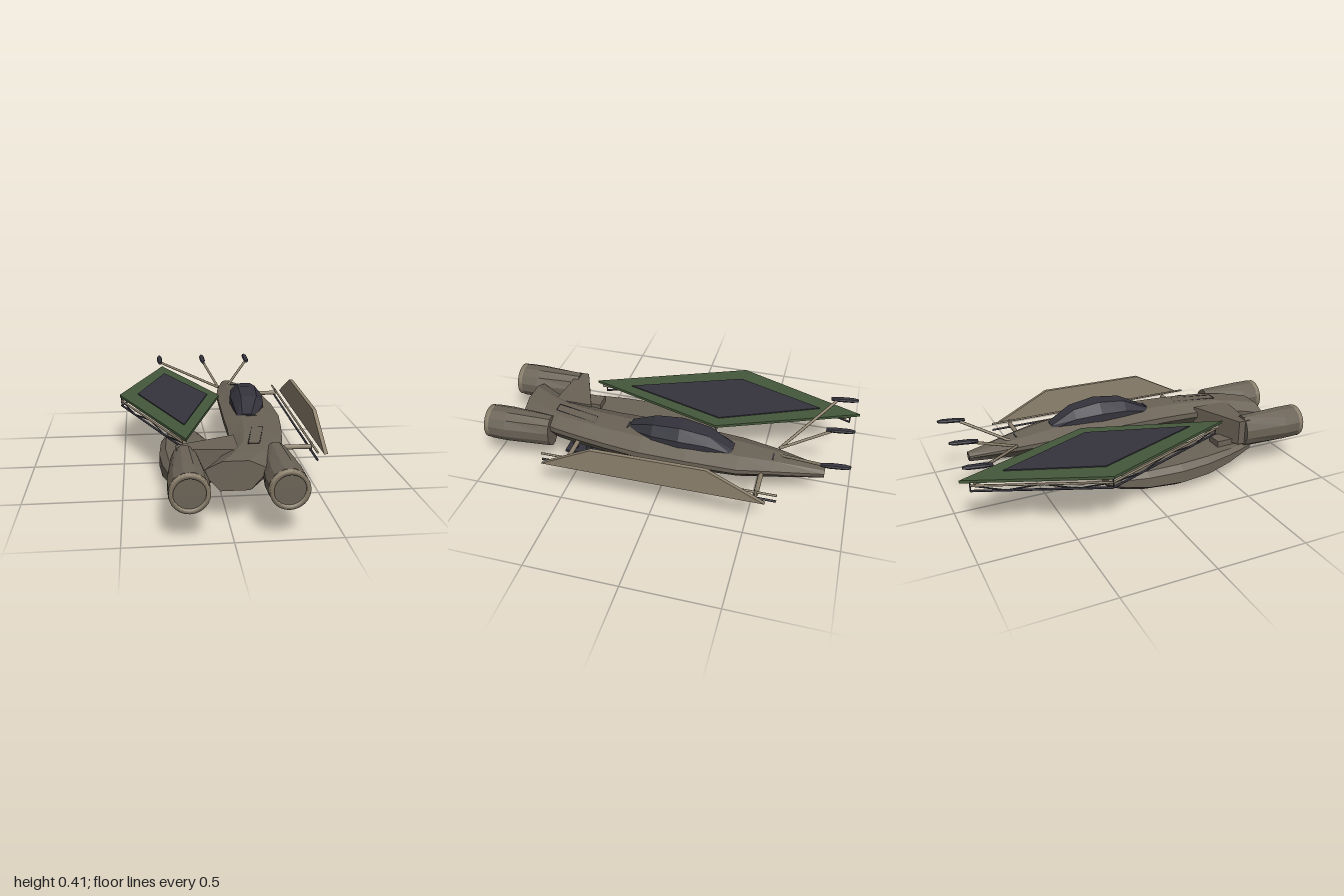
import * as THREE from 'three';

const mat = (name, color) => {
  const m = new THREE.MeshStandardMaterial({ color });
  m.name = name;
  return m;
};

export function createModel() {
  const hullMat = mat('hull brown', 0x6b6357);
  const tanMat = mat('light tan', 0x8f836f);
  const greenMat = mat('panel green', 0x44583a);
  const darkMat = mat('dark slate', 0x35343d);
  const model = new THREE.Group();
  model.name = 'ship';

  const add = (name, geo, material, parent = model) => {
    const mesh = new THREE.Mesh(geo, material);
    mesh.name = name;
    parent.add(mesh);
    return mesh;
  };

  // Faceted skin over sections [z, points counter-clockwise seen from +z]
  const skin = (sections) => {
    const pos = [];
    const n = sections[0][1].length;
    const v = (s, i) => [...sections[s][1][i % n], sections[s][0]];
    const last = sections.length - 1;
    for (let s = 0; s < last; s++) {
      for (let i = 0; i < n; i++) {
        pos.push(...v(s, i), ...v(s, i + 1), ...v(s + 1, i + 1));
        pos.push(...v(s, i), ...v(s + 1, i + 1), ...v(s + 1, i));
      }
    }
    for (let i = 1; i < n - 1; i++) {
      pos.push(...v(0, 0), ...v(0, i + 1), ...v(0, i));
      pos.push(...v(last, 0), ...v(last, i), ...v(last, i + 1));
    }
    const g = new THREE.BufferGeometry();
    g.setAttribute('position', new THREE.Float32BufferAttribute(pos, 3));
    g.computeVertexNormals();
    return g;
  };

  // Unit cross-section fitted into stations [z, xLow, xHigh, yLow, yHigh]
  const loft = (unit, stations) => skin(stations.map(([z, x0, x1, y0, y1]) =>
    [z, unit.map(([u, w]) => [x0 + u * (x1 - x0), y0 + w * (y1 - y0)])]));

  // Horizontal plate from an outline of [x, z] points
  const plate = (pts, y0, y1) => {
    const shape = new THREE.Shape(pts.map(([x, z]) => new THREE.Vector2(x, -z)));
    return new THREE.ExtrudeGeometry(shape, { depth: y1 - y0, bevelEnabled: false })
      .rotateX(-Math.PI / 2).translate(0, y0, 0);
  };

  const rod = (name, a, b, r, material, parent = model, sides = 8) => {
    const p = new THREE.Vector3(...a), q = new THREE.Vector3(...b);
    const mesh = add(name, new THREE.CylinderGeometry(r, r, p.distanceTo(q), sides), material, parent);
    mesh.position.copy(p).lerp(q, 0.5);
    mesh.quaternion.setFromUnitVectors(new THREE.Vector3(0, 1, 0), q.sub(p).normalize());
    return mesh;
  };

  const box = (name, w, h, d, x, y, z, material) =>
    add(name, new THREE.BoxGeometry(w, h, d).translate(x, y, z), material);

  // Main hull, bending sideways toward the tail
  const hullSection = [[.25, 0], [.75, 0], [1, .55], [1, .75], [.72, 1], [.28, 1], [0, .75], [0, .55]];
  add('hull', loft(hullSection, [
    [-.86, .15, .21, .20, .245], [-.6, .095, .29, .185, .285], [-.42, .07, .342, .178, .305],
    [-.15, .06, .36, .175, .325], [.1, .052, .36, .175, .33], [.3, .05, .335, .175, .33],
    [.45, .04, .31, .175, .33], [.6, .015, .28, .175, .328], [.72, -.045, .235, .175, .325],
    [.83, -.115, .165, .175, .32],
  ]), hullMat);

  // Arm joining the hull to the outer engine
  add('engineArm', plate([[.06, .465], [-.235, .59], [-.235, .66], [-.12, .66], [.06, .68]], .178, .318), hullMat);

  // Canopy
  add('canopy', loft([[0, 0], [1, 0], [1, .5], [.77, 1], [.25, 1], [0, .5]], [
    [-.38, .155, .26, .29, .312], [-.25, .132, .285, .3, .388], [-.1, .112, .297, .3, .411],
    [.05, .113, .28, .3, .396], [.19, .12, .215, .3, .336],
  ]), darkMat);

  // Seams on the hull top
  box('noseSeam', .05, .004, .008, .2, .287, -.59, darkMat);
  box('canopySeam', .055, .004, .008, .19, .331, .2, darkMat);
  const hatch = [[.165, .385], [.222, .385], [.165, .63], [.11, .63]];
  hatch.forEach(([x, z], i) => {
    const [x2, z2] = hatch[(i + 1) % 4];
    rod('hatchSeam', [x, .329, z], [x2, .329, z2], .002, darkMat, model, 4);
  });

  // Cargo pod slung under the outer engine
  add('pod', loft([[.32, 0], [.66, 0], [1, .38], [1, .85], [.88, 1], [.12, 1], [0, .8], [0, .38]], [
    [-.21, -.22, -.105, .07, .133], [-.13, -.255, -.07, .04, .14], [0, -.29, -.035, .014, .15],
    [.2, -.305, -.022, 0, .157], [.37, -.295, -.022, .012, .162], [.52, -.27, -.04, .055, .166],
    [.67, -.235, -.13, .125, .168],
  ]), hullMat);
  box('podPylon', .09, .06, .16, -.15, .17, .56, hullMat);

  // Engines: narrow at the intake, ringed nozzle behind
  const ring12 = Array.from({ length: 12 }, (_, i) => {
    const a = (i + .5) * Math.PI / 6;
    return [.5 + .5 * Math.cos(a), .5 + .5 * Math.sin(a)];
  });
  for (const x of [-.196, .243]) {
    const engine = new THREE.Group();
    engine.name = 'engine';
    engine.position.set(x, .24, 0);
    model.add(engine);
    add('engineBody', loft(ring12, [[.63, .07, .093], [.88, .096, .096], [.975, .095, .095]]
      .map(([z, w, h]) => [z, -w, w, -h, h])), hullMat, engine);
    const profile = [[.092, 0], [.092, .028], [.073, .028], [.073, .012]].map(p => new THREE.Vector2(...p));
    add('nozzleRing', new THREE.LatheGeometry(profile, 24).rotateX(Math.PI / 2).translate(0, 0, .972), tanMat, engine);
    add('nozzleDisc', new THREE.CircleGeometry(.075, 24).translate(0, 0, .988), hullMat, engine);
  }

  // Diamond wing panel with dark inlay
  const wing = new THREE.Group();
  wing.name = 'wingPanel';
  model.add(wing);
  add('wingFrame', plate([[-.245, -1], [-.52, -.31], [-.18, .51], [.065, -.25]], .305, .32), greenMat, wing);
  add('wingInlay', plate([[-.24, -.78], [-.412, -.305], [-.175, .3], [-.005, -.255]], .32, .326), darkMat, wing);
  rod('wingSpine', [-.184, .292, .48], [-.24, .292, -.93], .012, tanMat, wing);

  // Truss under the two outer edges of the wing
  const corners = [[-.25, -.95], [-.51, -.31], [-.19, .46]];
  for (let e = 0; e < 2; e++) {
    const [ax, az] = corners[e], [bx, bz] = corners[e + 1];
    const at = (t, y) => [ax + (bx - ax) * t, y, az + (bz - az) * t];
    rod('trussUpper', at(0, .283), at(1, .283), .006, tanMat, wing, 6);
    rod('trussLower', at(0, .254), at(1, .254), .006, darkMat, wing, 6);
    for (let i = 0; i < 4; i++) {
      const y = i % 2 ? [.254, .283] : [.283, .254];
      rod('trussBrace', at(i / 4, y[0]), at((i + 1) / 4, y[1]), .004, darkMat, wing, 6);
    }
  }
  for (const [x, z] of corners) rod('trussPost', [x, .25, z], [x, .307, z], .004, darkMat, wing, 6);

  // Upright side plate with its rails and struts
  const side = new THREE.Shape([[-.58, .24], [.6, .24], [.3, .39], [-.3, .385]].map(p => new THREE.Vector2(...p)));
  add('sidePlate', new THREE.ExtrudeGeometry(side, { depth: .02, bevelEnabled: false })
    .rotateY(Math.PI / 2).translate(.498, 0, 0), tanMat);
  rod('upperRail', [.46, .258, .6], [.46, .258, -.65], .006, tanMat);
  rod('lowerRail', [.46, .22, .6], [.46, .22, -.65], .006, darkMat);
  for (const z of [-.545, .46]) {
    rod('railStrut', [.25, .24, z], [.46, .24, z], .013, tanMat);
    rod('railClamp', [.46, .215, z], [.46, .264, z], .006, tanMat);
  }

  // Three sensor booms near the nose
  const sensorSection = Array.from({ length: 8 }, (_, i) =>
    [.5 + .5 * Math.cos(i * Math.PI / 4), .5 + .5 * Math.sin(i * Math.PI / 4)]);
  const sensorGeo = loft(sensorSection, [[-.075, .009], [-.045, .016], [.03, .017], [.072, .011]]
    .map(([z, r]) => [z, -r, r, -r * .75, r * .75]));
  for (const [bx, x] of [[.1, -.265], [.1, .022], [.155, .315]]) {
    rod('sensorBoom', [bx, .268, -.61], [x, .38, -.87], .008, tanMat);
    const head = add('sensorHead', sensorGeo, darkMat);
    head.position.set(x, .387, -.905);
    head.rotation.x = .09;
  }

  // Dark slab hung beneath the hull on pegs
  box('bellySlab', .17, .014, .335, .195, .144, .38, darkMat);
  for (const x of [.15, .24]) {
    for (const z of [.25, .33, .42, .5]) box('bellyPeg', .025, .035, .025, x, .165, z, darkMat);
  }
  return model;
}
